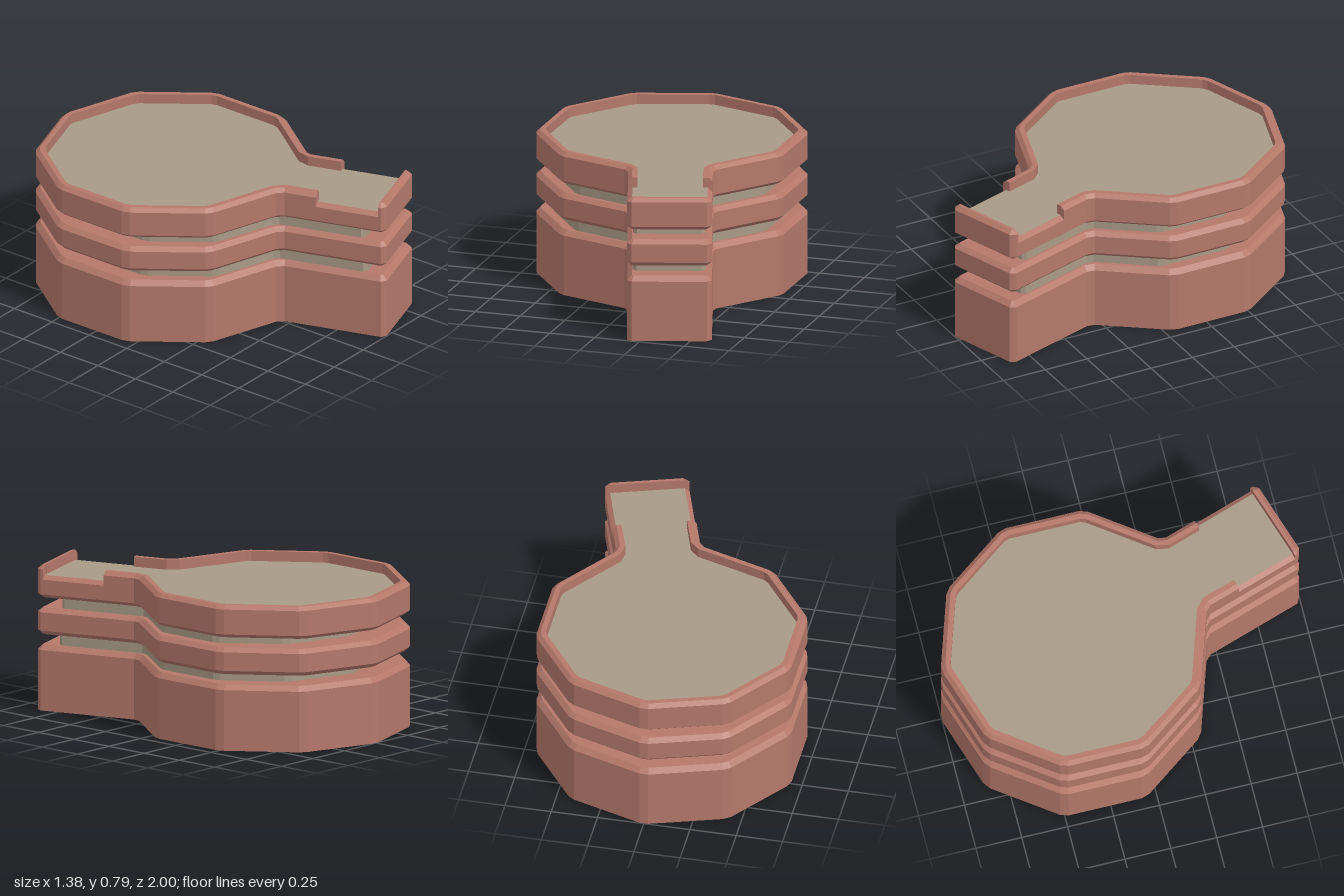
import * as THREE from 'three';

const V = (x, w) => new THREE.Vector2(x, w); // plan coordinates, w = -z

// Sharp plan outline: decagon, then a handle square to one of its edges
const R = 0.725, LEN = 0.59, A = -72 * Math.PI / 180;
const handleDir = V(Math.cos(A), Math.sin(A));
const corners = [];
for (let k = 0; k < 10; k++) {
  const a = (-54 + 36 * k) * Math.PI / 180;
  corners.push(V(R * Math.cos(a), 0.28 + R * Math.sin(a)));
}
const along = (p, t) => p.clone().addScaledVector(handleDir, t);
const neckRight = corners[0], neckLeft = corners[9];
corners.push(along(neckLeft, LEN), along(neckRight, LEN));

// Cut each corner into two points
function cutCorners(pts, d) {
  return pts.flatMap((p, i) => {
    const toward = (q) => p.clone().addScaledVector(q.clone().sub(p).normalize(), d);
    return [toward(pts.at(i - 1)), toward(pts[(i + 1) % pts.length])];
  });
}

// Move a counter-clockwise path inward with mitred corners
function inset(pts, d, closed) {
  const n = pts.length;
  const normal = (i) => {
    const e = pts[(i + 1) % n].clone().sub(pts[i]).normalize();
    return V(-e.y, e.x);
  };
  return pts.map((p, i) => {
    let a, b;
    if (closed) { a = normal((i + n - 1) % n); b = normal(i); }
    else { a = normal(Math.max(i - 1, 0)); b = normal(Math.min(i, n - 2)); }
    const m = a.clone().add(b);
    return p.clone().addScaledVector(m, d / (1 + a.dot(b)));
  });
}

function makeMesh(name, triangles, material) {
  const g = new THREE.BufferGeometry();
  g.setAttribute('position', new THREE.Float32BufferAttribute(triangles.flat(), 3));
  g.computeVertexNormals();
  const m = new THREE.Mesh(g, material);
  m.name = name;
  return m;
}

// Flat triangles filling an outline
function cap(pts, y, up) {
  return THREE.ShapeUtils.triangulateShape(pts, []).flatMap((f) =>
    (up ? f : [...f].reverse()).map((i) => [pts[i].x, y, -pts[i].y]));
}

// Skin through a profile of [inset, y] steps following a path
function skin(path, profile, closed) {
  const rings = profile.map(([d, y]) => inset(path, d, closed).map((p) => [p.x, y, -p.y]));
  const out = [], n = path.length;
  const steps = closed ? rings.length - 1 : rings.length;
  for (let i = 0; i < steps; i++) {
    const lo = rings[i], hi = rings[(i + 1) % rings.length];
    for (let j = 0; j < (closed ? n : n - 1); j++) {
      const k = (j + 1) % n;
      out.push(lo[j], lo[k], hi[k], lo[j], hi[k], hi[j]);
    }
  }
  if (!closed) {
    for (let i = 1; i < rings.length - 1; i++) {
      out.push(rings[0][0], rings[i][0], rings[i + 1][0]);
      out.push(rings[0][n - 1], rings[i + 1][n - 1], rings[i][n - 1]);
    }
  }
  return out;
}

function slab(name, path, profile, material) {
  const [d0, y0] = profile[0], [d1, y1] = profile.at(-1);
  return makeMesh(name, [
    ...skin(path, profile, true),
    ...cap(inset(path, d0, true), y0, false),
    ...cap(inset(path, d1, true), y1, true),
  ], material);
}

export function createModel() {
  const group = new THREE.Group();
  group.name = 'tieredPan';
  const clay = new THREE.MeshStandardMaterial({ color: 0xb5786a, flatShading: true });
  const sand = new THREE.MeshStandardMaterial({ color: 0xa89a84, flatShading: true });
  const outline = cutCorners(corners, 0.025);
  const B = 0.025; // bevel width

  // Stacked tiers
  group.add(
    slab('baseTier', outline, [[0, 0], [0, 0.328], [B, 0.355]], clay),
    slab('middleTier', outline, [[B, 0.41], [0, 0.433], [0, 0.533], [B, 0.555]], clay),
    slab('topTier', outline, [[B, 0.61], [0, 0.63], [0, 0.71], [B, 0.729]], clay),
  );

  // Recessed cores showing in the gaps
  const shrink = (s) => {
    const c = V(0.125, -0.17);
    return outline.map((p) => p.clone().sub(c).multiplyScalar(s).add(c));
  };
  group.add(
    slab('lowerCore', shrink(0.86), [[0, 0.34], [0, 0.42]], sand),
    slab('upperCore', shrink(0.845), [[0, 0.54], [0, 0.62]], sand),
  );

  // Tray floor
  group.add(makeMesh('trayFloor', cap(inset(outline, B, true), 0.731, true), sand));

  // Raised rim, open along both sides of the handle
  const rim = (name, path, t) => makeMesh(name,
    skin(path, [[0, 0.71], [0, 0.765], [0.022, 0.785], [t, 0.785], [t, 0.728]], false), clay);
  group.add(
    rim('bowlRim', [along(neckRight, 0.2), ...outline.slice(0, 20), along(neckLeft, 0.2)], 0.05),
    rim('handleEndRim', [along(neckLeft, LEN - 0.04), ...outline.slice(20),
      along(neckRight, LEN - 0.04)], 0.04),
  );
  return group;
}
